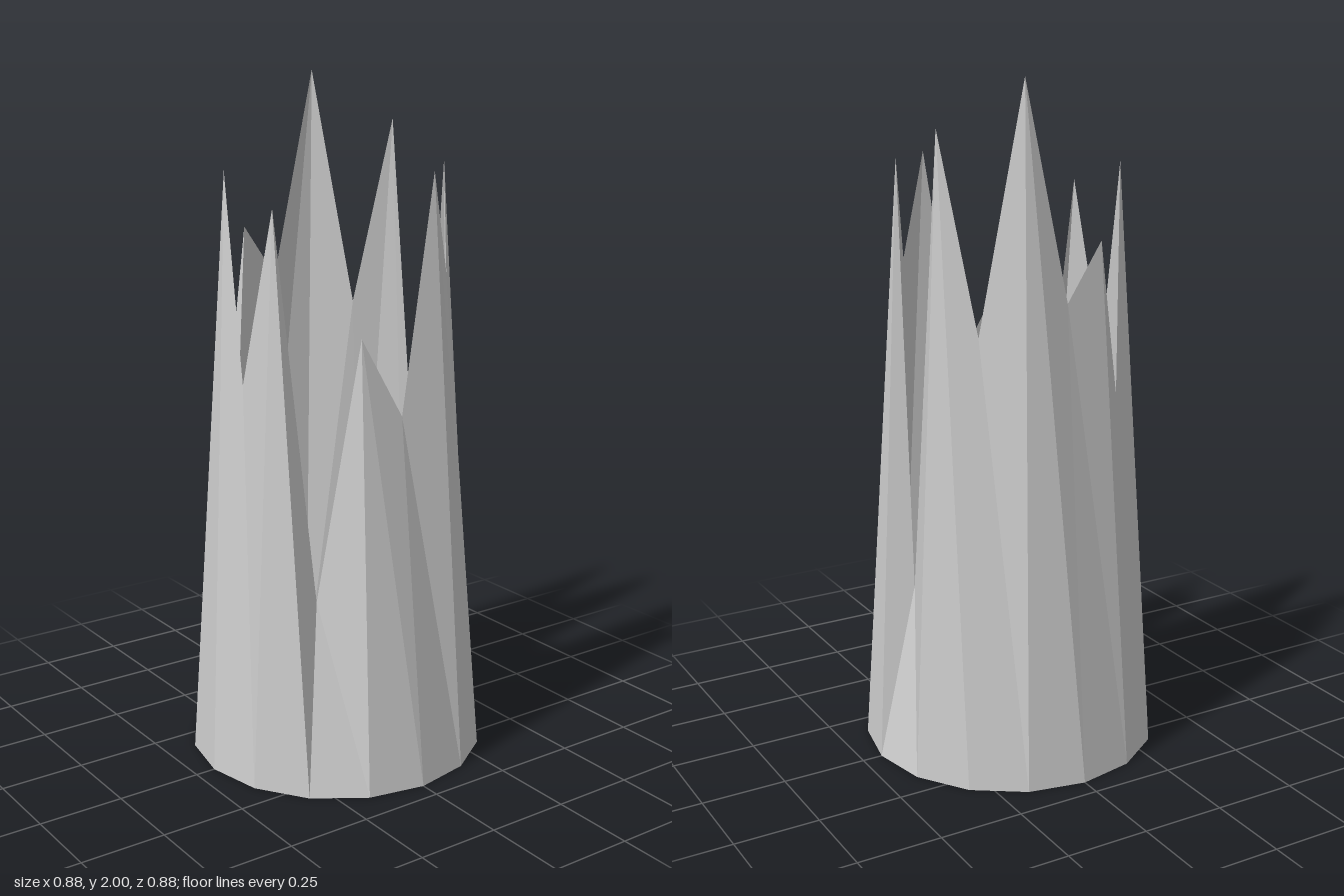
import * as THREE from 'three';

const BASE_RADIUS = 0.44;
const TOP_RADIUS = 0.32;

// Rim heights around the shell, starting at +x and turning toward +z;
// valleys and peaks alternate.
const RIM = [
  1.08, 1.31, 0.55, 1.66, 1.15, 1.74, 0.48, 1.55,
  1.39, 2.0, 1.3, 1.86, 0.52, 1.76, 1.45, 1.75,
];

function ringPoint(k, radius, y) {
  const a = (k / RIM.length) * Math.PI * 2;
  return [Math.cos(a) * radius, y, Math.sin(a) * radius];
}

// Tapered open tube with a jagged rim, two flat triangles per side
function jaggedShellGeometry() {
  const n = RIM.length;
  const bottom = (k) => ringPoint(k % n, BASE_RADIUS, 0);
  const top = (k) => ringPoint(k % n, TOP_RADIUS, RIM[k % n]);
  const positions = [];
  for (let k = 0; k < n; k++) {
    positions.push(...bottom(k + 1), ...bottom(k), ...top(k + 1));
    positions.push(...bottom(k), ...top(k), ...top(k + 1));
  }
  const geometry = new THREE.BufferGeometry();
  geometry.setAttribute('position', new THREE.Float32BufferAttribute(positions, 3));
  geometry.computeVertexNormals();
  return geometry;
}

export function createModel() {
  const group = new THREE.Group();
  group.name = 'jaggedTube';
  const material = new THREE.MeshStandardMaterial({
    color: 0xcccccc,
    flatShading: true,
    side: THREE.DoubleSide,
  });
  const shell = new THREE.Mesh(jaggedShellGeometry(), material);
  shell.name = 'jaggedShell';
  group.add(shell);
  return group;
}
